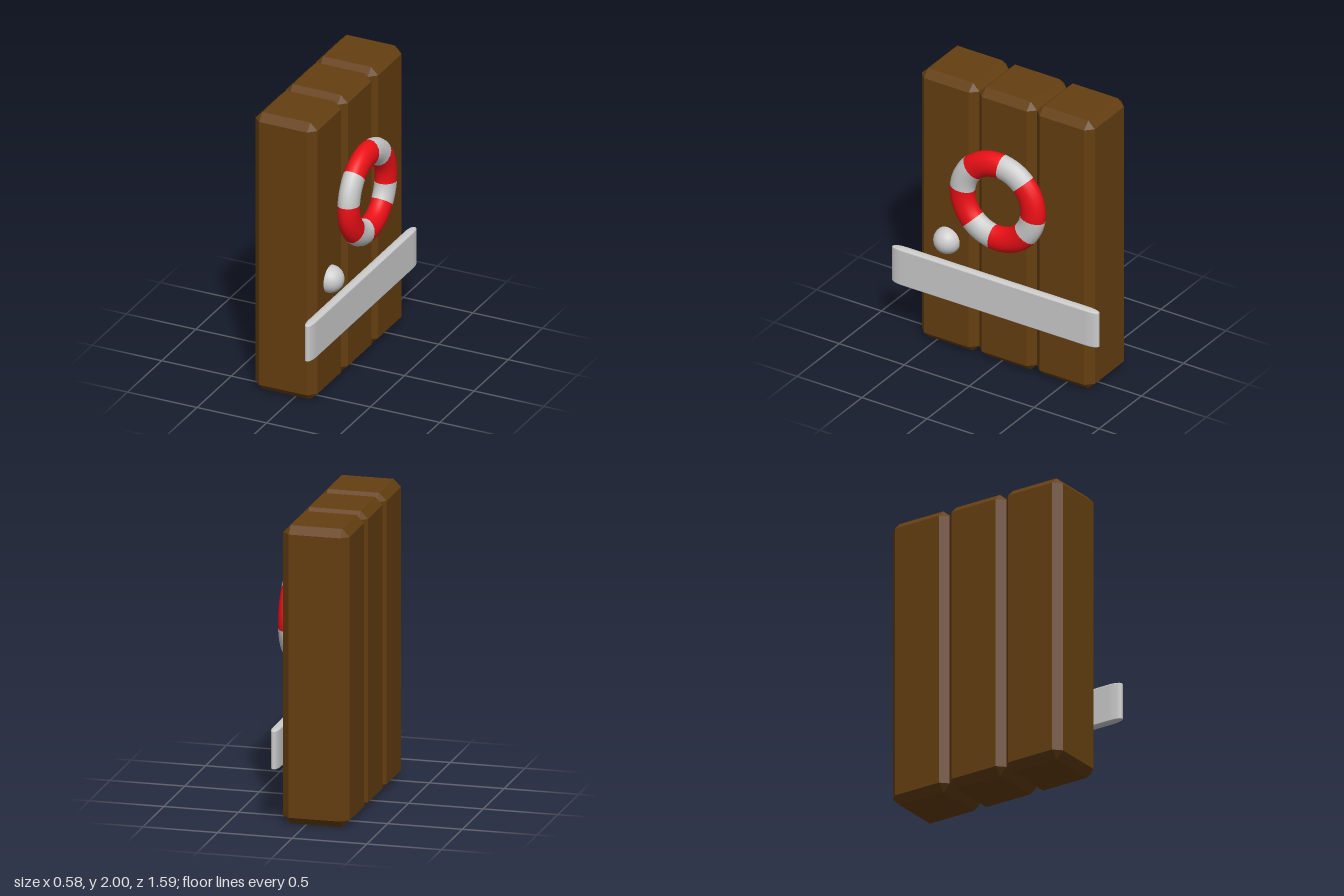
import * as THREE from 'three';
import { ConvexGeometry } from 'three/addons/geometries/ConvexGeometry.js';
import { RoundedBoxGeometry } from 'three/addons/geometries/RoundedBoxGeometry.js';

const grey = new THREE.MeshStandardMaterial({ color: 0xcccccc });
const brown = new THREE.MeshStandardMaterial({ color: 0x643e10, flatShading: true });
const red = new THREE.MeshStandardMaterial({ color: 0xec1016 });

function addMesh(parent, name, geometry, material, x, y, z) {
  const mesh = new THREE.Mesh(geometry, material);
  mesh.name = name;
  mesh.position.set(x, y, z);
  parent.add(mesh);
  return mesh;
}

// Box whose edges are cut at 45 degrees and whose corners become triangles
function chamferedBox(w, h, d, c) {
  const points = [];
  for (const sx of [-1, 1]) for (const sy of [-1, 1]) for (const sz of [-1, 1]) {
    const x = w / 2, y = h / 2, z = d / 2;
    points.push(
      new THREE.Vector3(sx * x, sy * (y - c), sz * (z - c)),
      new THREE.Vector3(sx * (x - c), sy * y, sz * (z - c)),
      new THREE.Vector3(sx * (x - c), sy * (y - c), sz * z));
  }
  return new ConvexGeometry(points);
}

// Rounded box with a different corner radius along each axis
function softBox(size, radii) {
  const geometry = new RoundedBoxGeometry(
    size[0] / radii[0], size[1] / radii[1], size[2] / radii[2], 5, 1);
  return geometry.scale(...radii);
}

export function createModel() {
  const model = new THREE.Group();
  model.name = 'plankDoor';

  // Three upright planks side by side
  const planks = new THREE.Group();
  planks.name = 'planks';
  model.add(planks);
  const plankWidth = 0.444;
  for (let i = -1; i <= 1; i++) {
    addMesh(planks, 'plank', chamferedBox(0.445, 2, plankWidth, 0.05), brown,
      -0.0675, 1, -0.044 + i * plankWidth);
  }

  // Cross bar with tapered ends
  addMesh(model, 'crossBar', softBox([0.06, 0.275, 1.59], [0.027, 0.014, 0.09]), grey,
    0.185, 0.518, 0);

  // Round knob, half sunk into the planks
  addMesh(model, 'knob', new THREE.SphereGeometry(0.093, 32, 20), grey, 0.157, 0.802, 0.39);

  // Striped life ring; stripe boundaries in degrees, grey and red alternating
  const ring = new THREE.Group();
  ring.name = 'lifeRing';
  ring.position.set(0.215, 1.25, -0.035);
  model.add(ring);
  const stops = [-38, -8, 44, 83, 134, 174, 225, 263, 322];
  for (let i = 0; i < stops.length - 1; i++) {
    const start = THREE.MathUtils.degToRad(stops[i]);
    const arc = THREE.MathUtils.degToRad(stops[i + 1] - stops[i]);
    const geometry = new THREE.TorusGeometry(0.272, 0.088, 16, 10, arc)
      .rotateZ(start).scale(1, 1, 0.8).rotateY(Math.PI / 2);
    addMesh(ring, i % 2 ? 'redStripe' : 'greyStripe', geometry, i % 2 ? red : grey, 0, 0, 0);
  }

  return model;
}
